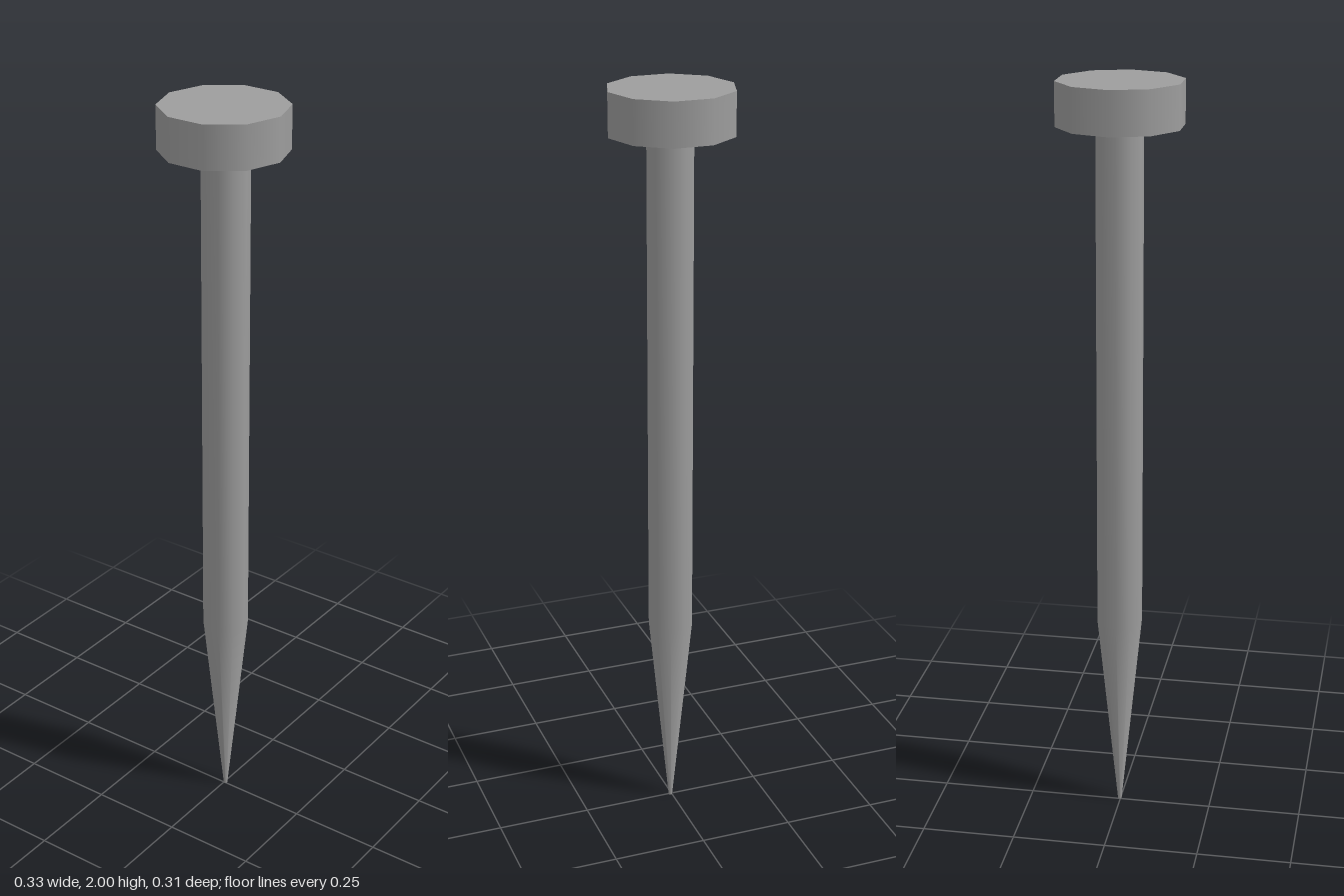
import * as THREE from 'three';

const SIDES = 10;

export function createModel() {
  const nail = new THREE.Group();
  nail.name = 'nail';
  const material = new THREE.MeshStandardMaterial({ color: 0x9d9d9d });

  // Flat ten-sided head with a corner on the x axis
  const headGeometry = new THREE.CylinderGeometry(0.163, 0.163, 0.112, SIDES, 1, false, Math.PI / 2);
  const head = new THREE.Mesh(headGeometry, material);
  head.name = 'head';
  head.position.y = 1.944;
  nail.add(head);

  // Shank running smoothly into the point; the repeated corner keeps the blunt tip sharp-edged
  const profile = [[0, 0], [0.005, 0], [0.005, 0], [0.061, 0.55], [0.061, 1.89]]
    .map(([radius, y]) => new THREE.Vector2(radius, y));
  const shank = new THREE.Mesh(new THREE.LatheGeometry(profile, SIDES, Math.PI / 2), material);
  shank.name = 'shankAndPoint';
  shank.position.set(0.004, 0, -0.002);
  nail.add(shank);

  return nail;
}
